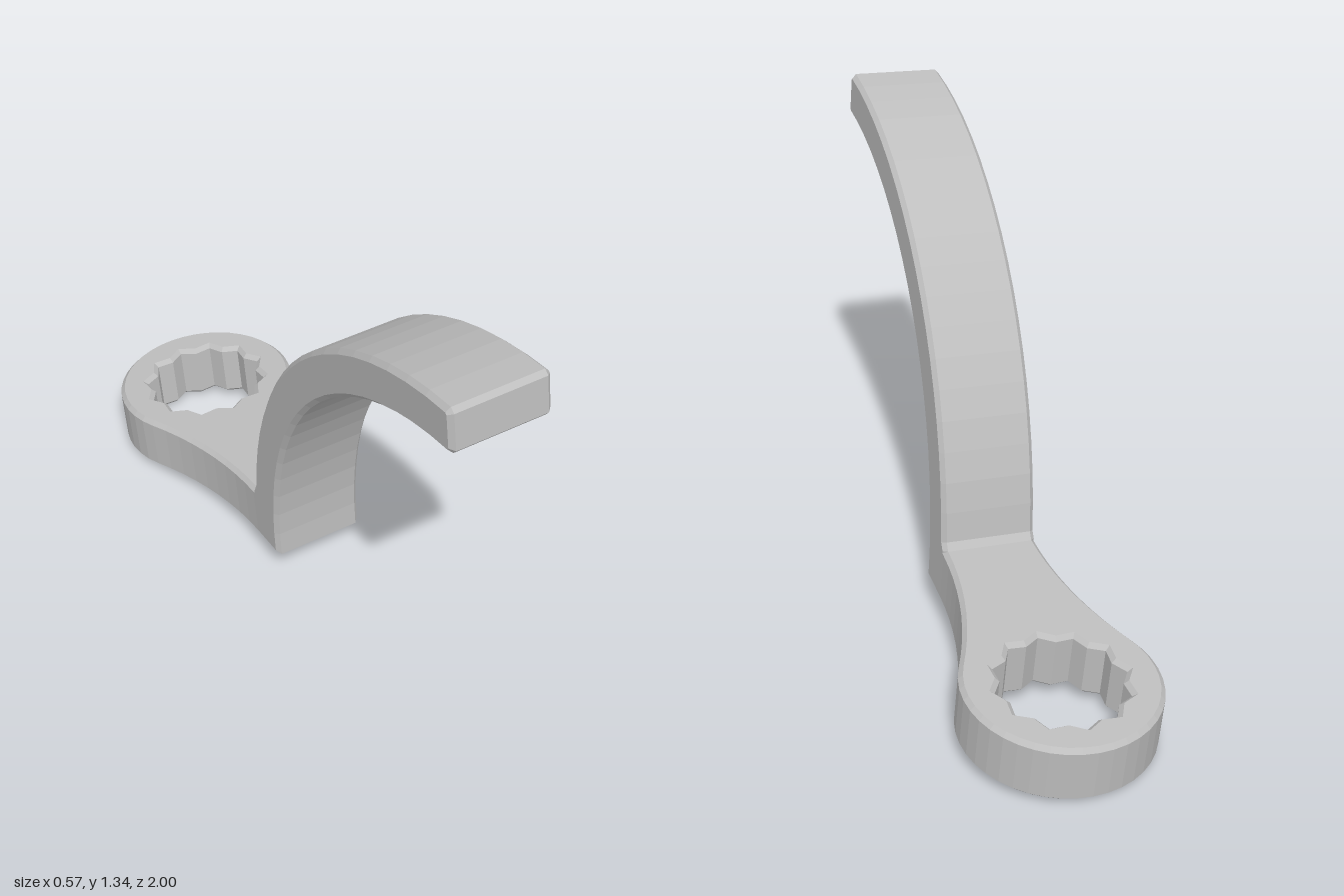
import * as THREE from 'three';

const BEVEL = 0.013;
const HALF_WIDTH = 0.142;    // half width of the arm
const THICK = 0.178;         // height of the ring head
const V = (x, y) => new THREE.Vector2(x, y);

// Points on a circular arc, ends included
function arc(cx, cy, r, a0, a1, steps) {
  return Array.from({ length: steps + 1 }, (_, i) => {
    const a = a0 + (a1 - a0) * i / steps;
    return V(cx + r * Math.cos(a), cy + r * Math.sin(a));
  });
}

// Extrusion with chamfered edges that keeps the outline at full size
function chamferedExtrude(shape, depth) {
  const geo = new THREE.ExtrudeGeometry(shape, {
    depth: depth - 2 * BEVEL, bevelEnabled: true, bevelSegments: 1,
    bevelSize: BEVEL, bevelThickness: BEVEL, bevelOffset: -BEVEL,
  });
  return geo.translate(0, 0, BEVEL);
}

// Ring head and flared neck: outline in plan (x, -z)
function headGeometry() {
  const ringY = 0.71, ringR = 0.28, bendY = 0.1, flareR = 1.137;
  const flareX = HALF_WIDTH + flareR;
  const join = Math.atan2(bendY - ringY, flareX);   // where ring meets flare
  const flare = arc(flareX, bendY, flareR, Math.PI, Math.PI + join, 9);
  const ring = arc(0, ringY, ringR, join, Math.PI - join, 26);
  const mirrored = flare.map(p => V(-p.x, p.y)).reverse();
  const outline = [V(HALF_WIDTH, 0), ...flare.slice(0, -1), ...ring, ...mirrored.slice(1), V(-HALF_WIDTH, 0)];
  const shape = new THREE.Shape(outline);

  // Twelve-point socket
  const star = [];
  for (let i = 0; i < 24; i++) {
    const a = -i * Math.PI / 12, r = i % 2 ? 0.168 : 0.191;
    star.push(V(r * Math.cos(a), ringY + r * Math.sin(a)));
  }
  shape.holes.push(new THREE.Path(star));
  return chamferedExtrude(shape, THICK).rotateX(-Math.PI / 2);
}

// Curved arm: side profile (z, y) extruded across the width
function armGeometry() {
  const cz = 1.085, cy = -0.015, inner = 1.058, outer = 1.19, c = 0.013;
  const start = Math.PI - Math.asin((THICK + 0.02 - cy) / outer);
  const outerArc = arc(cz, cy, outer, start, Math.PI / 2 + c / outer, 18);
  const innerArc = arc(cz, cy, inner, Math.PI / 2 + c / inner, Math.PI - 0.0142, 20);
  const shape = new THREE.Shape([
    V(cz - inner, 0), V(-0.09, 0), V(-0.104, THICK - 0.02), V(-0.104, THICK),
    ...outerArc, V(cz, cy + outer - c), V(cz, cy + inner + c), ...innerArc.slice(0, -1),
  ]);
  return chamferedExtrude(shape, 2 * HALF_WIDTH)
    .translate(0, 0, -HALF_WIDTH).rotateY(-Math.PI / 2);
}

export function createModel() {
  const steel = new THREE.MeshStandardMaterial({ color: 0xbebebe });
  steel.name = 'steel grey';

  const head = new THREE.Mesh(headGeometry(), steel);
  head.name = 'ringHead';
  const arm = new THREE.Mesh(armGeometry(), steel);
  arm.name = 'curvedArm';

  // The whole wrench rests slightly pitched and rolled
  const wrench = new THREE.Group();
  wrench.name = 'wrench';
  wrench.add(head, arm);
  wrench.rotation.set(-0.08, 0, 0.052, 'ZYX');
  wrench.position.set(0, 0.087, 0);

  const model = new THREE.Group();
  model.name = 'curvedRingWrench';
  model.add(wrench);
  return model;
}
